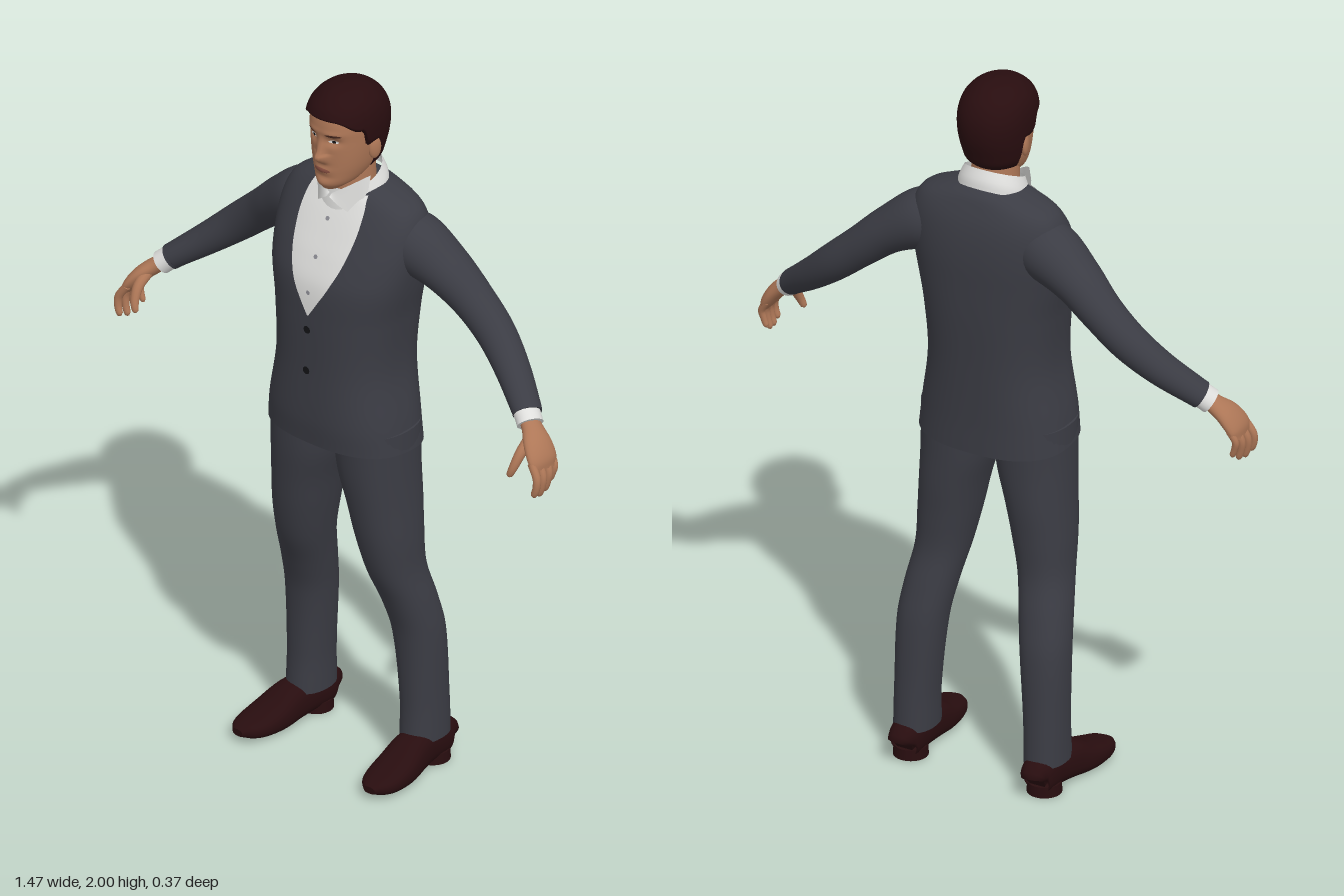
import * as THREE from 'three';

const mat = (name, color, side = THREE.FrontSide) => {
  const m = new THREE.MeshStandardMaterial({ color, side });
  m.name = name;
  return m;
};

// Smooth lookup in rows keyed by their first column
function sample(rows, k) {
  const last = rows.length - 1;
  k = Math.min(Math.max(k, rows[0][0]), rows[last][0]);
  let i = 0;
  while (i < last - 1 && k > rows[i + 1][0]) i++;
  const a = rows[i], b = rows[i + 1], h = b[0] - a[0], t = (k - a[0]) / h;
  const p = rows[Math.max(i - 1, 0)], q = rows[Math.min(i + 2, last)];
  return a.map((_, c) => {
    const ma = (b[c] - p[c]) / (b[0] - p[0]) * h, mb = (q[c] - a[c]) / (q[0] - a[0]) * h;
    const t2 = t * t, t3 = t2 * t;
    return (2 * t3 - 3 * t2 + 1) * a[c] + (t3 - 2 * t2 + t) * ma + (3 * t2 - 2 * t3) * b[c] + (t3 - t2) * mb;
  });
}

// Grid surface from fn(u, v); closed surfaces wrap in u and may be capped
function surface(fn, nu, nv, closed = true, caps = true) {
  const pos = [], idx = [], w = closed ? nu : nu + 1;
  for (let j = 0; j <= nv; j++) for (let i = 0; i < w; i++) pos.push(...fn(i / nu, j / nv));
  for (let j = 0; j < nv; j++) for (let i = 0; i < nu; i++) {
    const a = j * w + i, b = j * w + (i + 1) % w;
    idx.push(a, a + w, b, b, a + w, b + w);
  }
  if (closed && caps) for (const v of [0, 1]) {
    const s = pos.length / 3, c = [0, 0, 0];
    for (let i = 0; i < nu; i++) {
      const p = fn(i / nu, v);
      pos.push(...p);
      p.forEach((q, n) => { c[n] += q / nu; });
    }
    pos.push(...c);
    for (let i = 0; i < nu; i++) {
      const a = s + i, b = s + (i + 1) % nu;
      idx.push(...(v ? [a, s + nu, b] : [a, b, s + nu]));
    }
  }
  const g = new THREE.BufferGeometry();
  g.setAttribute('position', new THREE.Float32BufferAttribute(pos, 3));
  g.setIndex(idx);
  g.computeVertexNormals();
  return g;
}

const pow = (c, n) => Math.sign(c) * Math.abs(c) ** (2 / n);

// Point on an upright body: rows are [y, centre x, half width, front z, back z, roundness, tilt]
function bodyPoint(rows, angle, y) {
  const [, cx, rx, zf, zb, n, tilt = 0] = sample(rows, y);
  const z = (zf + zb) / 2 + (zf - zb) / 2 * pow(Math.sin(angle), n);
  return [cx + rx * pow(Math.cos(angle), n), y + tilt * (z + 0.03), z];
}
const body = (rows, nu, nv, caps = true) => surface((u, v) =>
  bodyPoint(rows, u * Math.PI * 2, THREE.MathUtils.lerp(rows[0][0], rows[rows.length - 1][0], v)), nu, nv, true, caps);
function frontZ(rows, x, y) {
  const [, cx, rx, zf, zb, n] = sample(rows, y);
  const k = Math.min(Math.abs((x - cx) / rx), 1);
  return (zf + zb) / 2 + (zf - zb) / 2 * (1 - k ** n) ** (1 / n);
}

// Limb along a path: rows are [x, y, z, radius across, radius along ref]
function limb(path, nu, nv, ref = [0, 0, 1], n = 2, floor = -1) {
  const rows = path.map((r, i) => [i, ...r]), end = rows.length - 1;
  const at = k => new THREE.Vector3(...sample(rows, k).slice(1, 4));
  return surface((u, v) => {
    const k = v * end, r = sample(rows, k), a = u * Math.PI * 2;
    const t = at(k + 0.05).sub(at(k - 0.05)).normalize();
    const V = new THREE.Vector3(...ref);
    V.addScaledVector(t, -V.dot(t)).normalize();
    const U = t.clone().cross(V);
    const p = at(k).addScaledVector(U, r[4] * pow(Math.cos(a), n)).addScaledVector(V, r[5] * pow(Math.sin(a), n));
    return [p.x, Math.max(p.y, floor), p.z];
  }, nu, nv);
}

// Thin panel laid over a front surface
const drape = (zAt, y0, y1, cx, half, nu, nv, off) => surface((u, v) => {
  const y = y0 + (y1 - y0) * v, x = cx + half(y, v) * (1 - 2 * u);
  return [x, y, zAt(x, y) + off];
}, nu, nv, false);
const oval = (zAt, x, y, w, h, off) =>
  drape(zAt, y - h, y + h, x, (_, v) => w * Math.sqrt(Math.max(0, 1 - (2 * v - 1) ** 2)), 10, 8, off);

function mirrored(g) {
  const m = g.clone().scale(-1, 1, 1), ix = m.index.array;
  for (let i = 0; i < ix.length; i += 3) [ix[i], ix[i + 1]] = [ix[i + 1], ix[i]];
  m.computeVertexNormals();
  return m;
}

const TORSO = [
  [0.967, 0, 0.215, 0.15, -0.155, 2.5, 0.08], [1.05, 0, 0.205, 0.155, -0.155, 2.5, 0.03], [1.2, 0, 0.183, 0.15, -0.16, 2.5, 0],
  [1.35, 0, 0.193, 0.146, -0.168, 2.5, 0], [1.45, 0, 0.212, 0.138, -0.17, 2.5, 0], [1.52, 0, 0.222, 0.113, -0.17, 2.5, 0],
  [1.58, 0, 0.224, 0.084, -0.165, 2.5, 0], [1.63, 0, 0.214, 0.058, -0.155, 2.5, 0], [1.67, 0, 0.186, 0.035, -0.14, 2.4, 0],
  [1.7, 0, 0.115, 0.02, -0.125, 2.2, 0], [1.712, 0, 0.08, 0.01, -0.11, 2.1, 0]];
const LEG = [
  [0.085, 0.197, 0.056, -0.015, -0.165, 2.2], [0.2, 0.195, 0.057, -0.02, -0.16, 2.2], [0.4, 0.185, 0.066, -0.008, -0.15, 2.2],
  [0.5, 0.172, 0.069, 0.02, -0.13, 2.2], [0.6, 0.155, 0.071, 0.06, -0.107, 2.2], [0.7, 0.143, 0.08, 0.085, -0.108, 2.2],
  [0.8, 0.13, 0.088, 0.1, -0.115, 2.2], [0.9, 0.115, 0.1, 0.112, -0.118, 2.2], [1.03, 0.107, 0.107, 0.118, -0.122, 2.2]];
const HEAD = [
  [1.715, 0, 0.024, 0.08, 0.02, 2], [1.735, 0, 0.05, 0.092, -0.045, 2.1], [1.77, 0, 0.069, 0.092, -0.088, 2.2],
  [1.81, 0, 0.079, 0.094, -0.104, 2.2], [1.86, 0, 0.085, 0.096, -0.116, 2.2], [1.91, 0, 0.086, 0.097, -0.115, 2.2],
  [1.95, 0, 0.077, 0.086, -0.1, 2.1], [1.975, 0, 0.058, 0.063, -0.077, 2], [1.988, 0, 0.036, 0.037, -0.052, 2], [1.994, 0, 0.008, 0.002, -0.017, 2]];
const NOSE = [[1.795, 0], [1.806, 0.016], [1.818, 0.025], [1.84, 0.014], [1.878, 0.001], [1.9, 0]];

// Facial relief: nose, eye sockets, brow, lips and chin
const bump = (x, y, cx, cy, sx, sy) => Math.exp(-(((x - cx) / sx) ** 2) - ((y - cy) / sy) ** 2);
function relief(x, y) {
  const ax = Math.abs(x), w = y < 1.825 ? 0.017 : 0.012;
  return sample(NOSE, y)[1] * Math.exp(-((x / w) ** 2)) - 0.01 * bump(ax, y, 0.034, 1.867, 0.018, 0.012)
    + 0.003 * bump(ax, y, 0.03, 1.89, 0.03, 0.008) + 0.005 * bump(x, y, 0, 1.777, 0.025, 0.01)
    - 0.003 * bump(x, y, 0, 1.755, 0.03, 0.007) + 0.004 * bump(x, y, 0, 1.735, 0.022, 0.012);
}
const faceZ = (x, y) => frontZ(HEAD, x, y) + relief(x, y);
const jacketZ = (x, y) => frontZ(TORSO, x, y);

export function createModel() {
  const root = new THREE.Group();
  root.name = 'manInSuit';
  const suit = mat('suitCharcoal', 0x3b3c44), skin = mat('skin', 0xae7757), dark = mat('darkBrown', 0x280d0f);
  const shirt = mat('shirtWhite', 0xdededc, THREE.DoubleSide), black = mat('buttonBlack', 0x121215);
  const grey = mat('buttonGrey', 0x8c8c94), lip = mat('lips', 0x8a5142), brow = mat('browBrown', 0x4a2a20);
  const add = (name, g, m) => {
    const mesh = new THREE.Mesh(g, m);
    mesh.name = name;
    root.add(mesh);
  };
  const pair = (name, g, m) => {
    add('left' + name, g, m);
    add('right' + name, mirrored(g), m);
  };

  // Jacket, shirt front and buttons
  add('jacket', body(TORSO, 64, 60), suit);
  const V = [[1.362, 0.002], [1.4, 0.026], [1.45, 0.056], [1.52, 0.085], [1.6, 0.1], [1.66, 0.098], [1.695, 0.088]];
  add('shirtFront', drape(jacketZ, 1.362, 1.695, 0, y => sample(V, y)[1], 24, 36, 0.004), shirt);
  for (const y of [1.32, 1.2]) add('jacketButton', oval(jacketZ, 0, y, 0.011, 0.011, 0.005), black);
  for (const y of [1.62, 1.525, 1.43]) add('shirtButton', oval(jacketZ, 0, y, 0.006, 0.006, 0.007), grey);

  // Collar band and folded points
  add('collar', body([[1.678, 0, 0.098, 0.055, -0.117, 2.1, -0.45], [1.7, 0, 0.094, 0.052, -0.114, 2.1, -0.45],
    [1.737, 0, 0.08, 0.045, -0.1, 2.1, -0.45]], 40, 6, false), shirt);
  pair('CollarPoint', surface((u, v) => {
    const x = 0.004 + 0.084 * u, top = 1.692 + 0.06 * u, low = u < 0.72 ? 1.685 - 0.045 * u / 0.72 : 1.64 + 0.07 * (u - 0.72) / 0.28;
    return [x, low + (top - low) * v, 0.068 - 0.058 * u * u - 0.01 * v];
  }, 14, 3, false), shirt);

  // Trousers
  pair('TrouserLeg', body(LEG, 36, 48), suit);

  // Shoes with heels
  pair('Shoe', limb([[0.2, 0.052, -0.162, 0.028, 0.036], [0.2, 0.058, -0.15, 0.043, 0.05], [0.203, 0.06, -0.08, 0.046, 0.053],
    [0.209, 0.056, -0.02, 0.052, 0.053], [0.216, 0.04, 0.04, 0.058, 0.042], [0.222, 0.032, 0.1, 0.055, 0.03],
    [0.226, 0.031, 0.14, 0.042, 0.021], [0.228, 0.03, 0.166, 0.018, 0.01]], 28, 40, [0, 1, 0], 2.5, 0), dark);
  pair('ShoeHeel', new THREE.CylinderGeometry(0.045, 0.047, 0.03, 24).translate(0.202, 0.015, -0.115), dark);

  // Sleeves and cuffs
  pair('Sleeve', limb([[0.12, 1.57, -0.055, 0.075, 0.075], [0.19, 1.56, -0.065, 0.082, 0.085], [0.28, 1.51, -0.08, 0.064, 0.073],
    [0.36, 1.445, -0.092, 0.055, 0.06], [0.44, 1.377, -0.09, 0.051, 0.054], [0.52, 1.31, -0.065, 0.044, 0.049],
    [0.6, 1.247, -0.025, 0.036, 0.043], [0.617, 1.233, -0.015, 0.035, 0.041]], 32, 56), suit);
  pair('Cuff', limb([[0.6, 1.246, -0.022, 0.033, 0.038], [0.62, 1.23, -0.012, 0.032, 0.037], [0.638, 1.214, -0.002, 0.032, 0.037]], 28, 4), shirt);

  // Hands with four curled fingers and a thumb
  pair('Palm', limb([[0.62, 1.23, -0.01, 0.02, 0.026], [0.65, 1.205, 0.002, 0.022, 0.032], [0.68, 1.178, 0.016, 0.022, 0.045],
    [0.703, 1.147, 0.026, 0.019, 0.049], [0.714, 1.122, 0.03, 0.01, 0.042]], 24, 20), skin);
  for (let i = 0; i < 4; i++) {
    const z = 0.064 - 0.026 * i, r = i === 3 ? 0.0095 : 0.0112, l = [0.93, 1.02, 0.98, 0.8][i], x = 0.004 * i;
    pair('Finger' + (i + 1), limb([[0.7, 1.147, z, r, r], [0.722 - x / 2, 1.147 - 0.036 * l, z + 0.005, r, r],
      [0.724 - x, 1.147 - 0.066 * l, z + 0.008, r * 0.92, r * 0.92], [0.717 - x, 1.147 - 0.09 * l, z + 0.009, r * 0.8, r * 0.8],
      [0.713 - x, 1.147 - 0.097 * l, z + 0.009, r * 0.25, r * 0.25]], 12, 16), skin);
  }
  pair('Thumb', limb([[0.66, 1.19, 0.025, 0.016, 0.016], [0.661, 1.163, 0.062, 0.0145, 0.0145], [0.656, 1.13, 0.083, 0.012, 0.012],
    [0.648, 1.106, 0.09, 0.009, 0.009], [0.646, 1.099, 0.091, 0.003, 0.003]], 12, 16), skin);

  // Neck, head and ears
  add('neck', body([[1.64, 0, 0.068, 0.035, -0.095, 2], [1.7, 0, 0.064, 0.04, -0.092, 2], [1.79, 0, 0.062, 0.04, -0.085, 2]], 32, 8), skin);
  add('head', surface((u, v) => {
    const a = u * Math.PI * 2, p = bodyPoint(HEAD, a, 1.715 + 0.279 * Math.sin(v * Math.PI / 2));
    if (Math.sin(a) > 0) p[2] += relief(p[0], p[1]) * Math.min(1, Math.sin(a) * 3);
    return p;
  }, 96, 90), skin);
  pair('Ear', new THREE.SphereGeometry(1, 16, 12).scale(0.01, 0.032, 0.019).rotateY(-0.3).translate(0.086, 1.828, -0.018), skin);

  // Hair shell with sideburns and a raised hairline
  const step = THREE.MathUtils.smoothstep;
  add('hair', surface((u, v) => {
    const a = u * Math.PI * 2, s = Math.sin(a);
    const low = 1.762 + 0.083 * step(s, -0.32, -0.14) + 0.05 * step(s, 0.16, 0.3) + 0.032 * step(s, 0.35, 0.95);
    const p = bodyPoint(HEAD, a, low + (1.994 - low) * Math.sin(v * Math.PI / 2));
    const k = 1 + 0.135 * step(v, -0.02, 0.07);
    return [p[0] * k, p[1] + 0.006 * v, -0.01 + (p[2] + 0.01) * k];
  }, 96, 40), dark);

  // Eyes, brows and mouth
  pair('EyeWhite', oval(faceZ, 0.034, 1.867, 0.013, 0.0045, 0.002), shirt);
  pair('Iris', oval(faceZ, 0.034, 1.867, 0.005, 0.0045, 0.003), black);
  pair('Brow', oval(faceZ, 0.036, 1.887, 0.02, 0.004, 0.002), brow);
  add('mouth', oval(faceZ, 0, 1.777, 0.026, 0.007, 0.0015), lip);
  return root;
}
